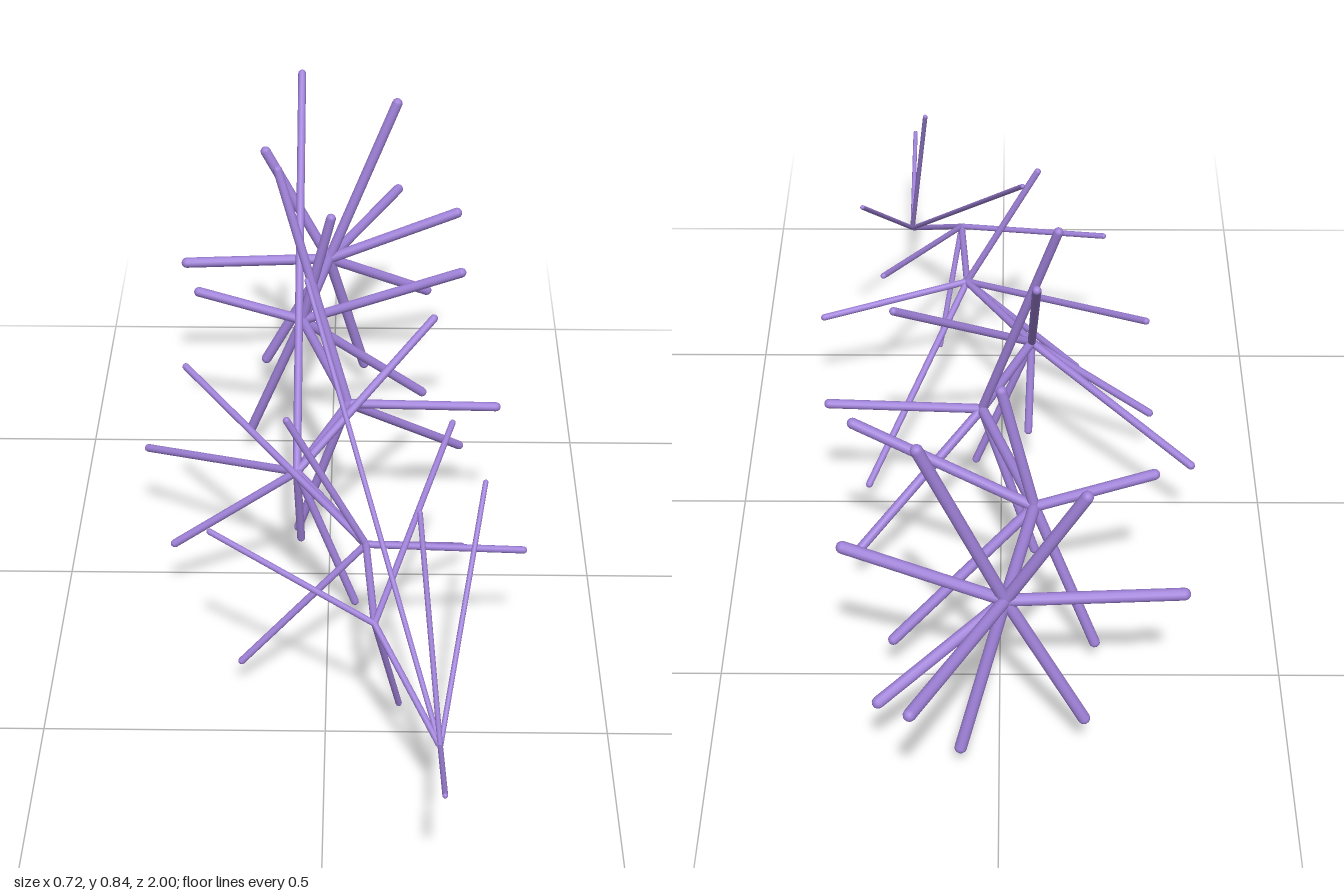
import * as THREE from 'three';

const purple = new THREE.MeshStandardMaterial({ color: 0x9f81d8 });
purple.name = 'purple';

// Each whorl: node position, needle radius, needle tips
const whorls = [
  { at: [-0.01, 0.335, -0.69], r: 0.0108, tips: [
    [-0.32, 0.333, -0.67], [0.267, 0.449, -0.688], [0.134, 0.684, -0.73], [0.208, 0.2, -0.802],
    [0.068, 0.043, -0.745], [-0.15, 0.076, -0.705], [-0.147, 0.58, -0.715]] },
  { at: [-0.06, 0.328, -0.43], r: 0.0098, tips: [
    [-0.277, 0.397, -0.423], [0, 0.573, -0.414], [0.265, 0.47, -0.373],
    [0.194, 0.1, -0.53], [-0.173, 0.04, -0.468]] },
  { at: [0.035, 0.313, -0.12], r: 0.0087, tips: [
    [-0.102, 0.768, -0.22], [-0.066, 0.001, -0.155], [0.263, 0.114, -0.295], [0.327, 0.315, -0.108]] },
  { at: [-0.058, 0.302, 0.113], r: 0.0077, tips: [
    [-0.06, 0.837, -0.515], [-0.36, 0.196, -0.145], [-0.295, 0.134, 0.107],
    [0.053, 0.01, 0.117], [0.2, 0.517, -0.1], [-0.052, 0.119, 0.063]] },
  { at: [0.07, 0.292, 0.34], r: 0.0066, tips: [
    [-0.157, 0.057, 0.375], [-0.072, 0.552, 0.342], [0.36, 0.243, 0.28],
    [0.258, 0.053, -0.022], [-0.272, 0.447, -0.03]] },
  { at: [0.085, 0.28, 0.567], r: 0.0056, tips: [
    [-0.207, 0.36, 0.403], [0.227, 0.432, 0.143], [0.131, 0.04, 0.473]] },
  { at: [0.195, 0.161, 0.75], r: 0.0046, tips: [
    [0.157, 0.527, 0.595], [-0.04, 0.68, 0.067], [0.277, 0.447, 0.37]] },
];
const stemBack = [0.143, 0.356, -1.0];
const stemFront = [0.195, 0.257, 1.0];

// Round-ended rod whose outer end sits on b
function rod(name, a, b, r) {
  const start = new THREE.Vector3(...a), end = new THREE.Vector3(...b);
  const dir = end.clone().sub(start);
  const length = dir.length();
  const mesh = new THREE.Mesh(new THREE.CapsuleGeometry(r, length - r, 4, 12), purple);
  mesh.name = name;
  // Centre line starts at a, cap tip ends at b
  mesh.position.copy(start).addScaledVector(dir, 0.5 - r / (2 * length));
  mesh.quaternion.setFromUnitVectors(new THREE.Vector3(0, 1, 0), dir.normalize());
  return mesh;
}

export function createModel() {
  const model = new THREE.Group();
  model.name = 'branch';

  // Zigzag stem, thinning towards the front
  const stem = new THREE.Group();
  stem.name = 'stem';
  stem.add(rod('stemBackEnd', whorls[0].at, stemBack, whorls[0].r));
  whorls.forEach((w, i) => {
    const next = whorls[i + 1];
    stem.add(rod('stemSegment', w.at, next ? next.at : stemFront, w.r));
  });
  model.add(stem);

  // Needles radiating from every node
  for (const w of whorls) {
    const whorl = new THREE.Group();
    whorl.name = 'needleWhorl';
    for (const tip of w.tips) whorl.add(rod('needle', w.at, tip, w.r));
    model.add(whorl);
  }
  return model;
}
